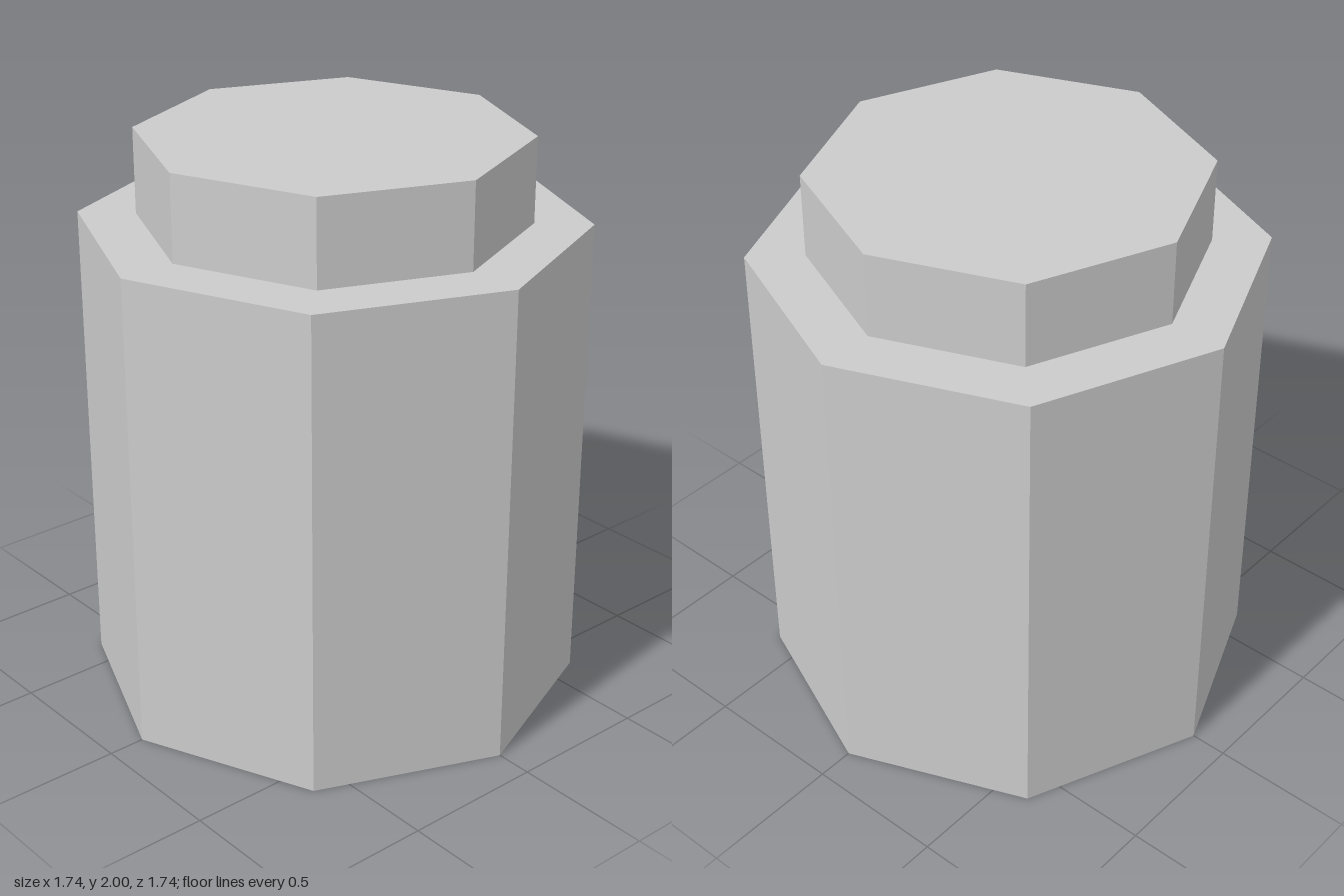
import * as THREE from 'three';

const SIDES = 8;

// Upright octagonal prism between two heights, corners on the x and z axes
function prism(name, radius, bottom, top, material) {
  const height = top - bottom;
  const mesh = new THREE.Mesh(
    new THREE.CylinderGeometry(radius, radius, height, SIDES),
    material
  );
  mesh.name = name;
  mesh.position.y = bottom + height / 2;
  return mesh;
}

export function createModel() {
  const material = new THREE.MeshStandardMaterial({ color: 0xcccccc, flatShading: true });
  const model = new THREE.Group();
  model.name = 'jar';

  // Wide body with a narrower lid on top
  model.add(prism('body', 0.87, 0, 1.7, material));
  model.add(prism('lid', 0.67, 1.7, 2, material));
  return model;
}
